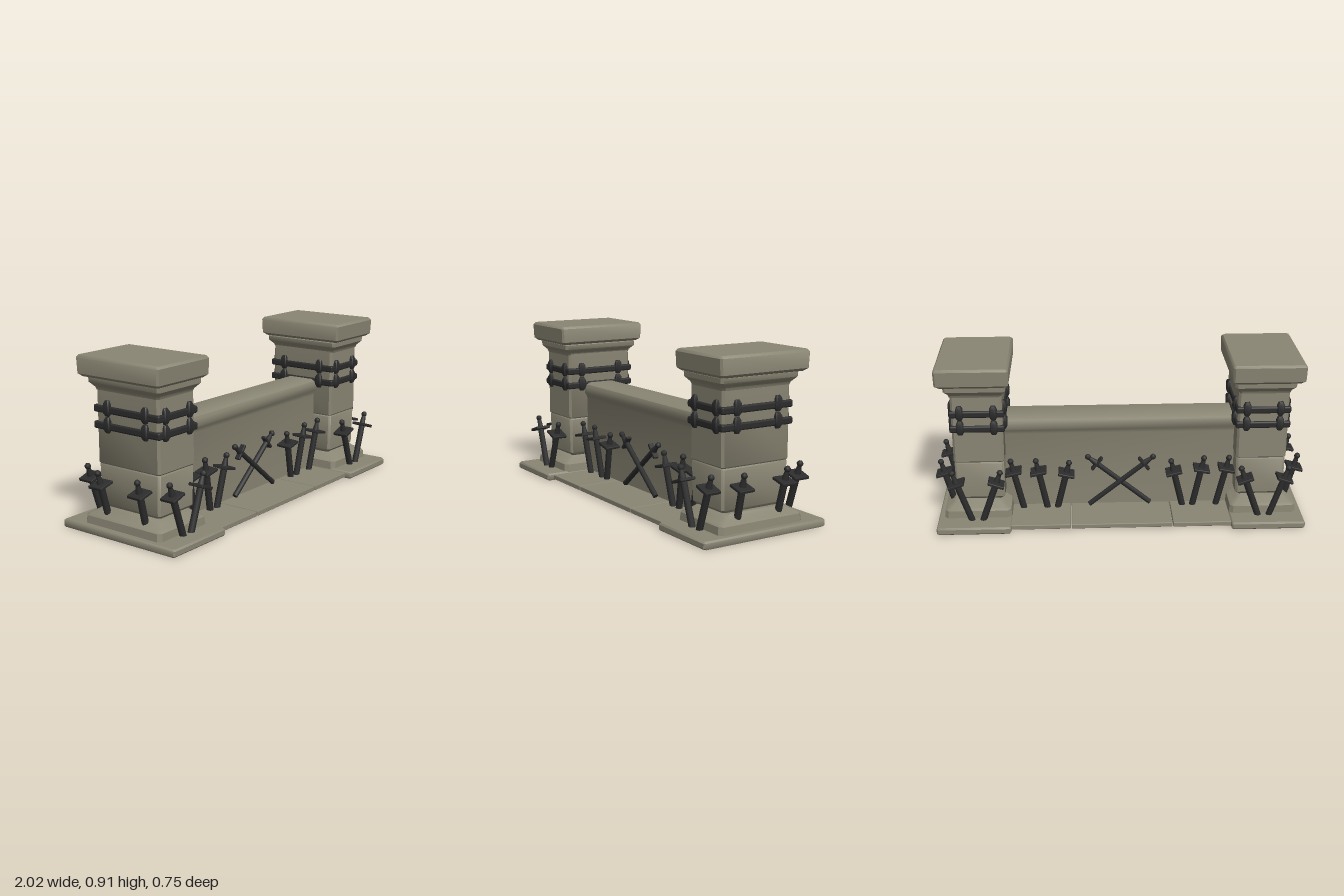
import * as THREE from 'three';
import { toCreasedNormals } from 'three/addons/utils/BufferGeometryUtils.js';
import { RoundedBoxGeometry } from 'three/addons/geometries/RoundedBoxGeometry.js';

const stone = new THREE.MeshStandardMaterial({ color: 0x8a8674 });
stone.name = 'stone';
const iron = new THREE.MeshStandardMaterial({ color: 0x2c2c2d });
iron.name = 'dark iron';

function add(parent, name, geometry, material, x = 0, y = 0, z = 0) {
  const mesh = new THREE.Mesh(geometry, material);
  mesh.name = name;
  mesh.position.set(x, y, z);
  parent.add(mesh);
  return mesh;
}

// Stacked rectangles with clipped corners; each section is [y, half x, half z]
function loft(sections, clip = 0.012) {
  const rings = sections.map(([y, a, b]) => [
    [a, b - clip], [a - clip, b], [clip - a, b], [-a, b - clip],
    [-a, clip - b], [clip - a, -b], [a - clip, -b], [a, clip - b],
  ].map(([x, z]) => [x, y, z]));
  const p = [];
  const tri = (...corners) => corners.forEach((c) => p.push(...c));
  for (let i = 0; i < rings.length - 1; i++) {
    for (let k = 0; k < 8; k++) {
      const n = (k + 1) % 8;
      const [a, b, c, d] = [rings[i][k], rings[i][n], rings[i + 1][n], rings[i + 1][k]];
      tri(a, d, c);
      tri(a, c, b);
    }
  }
  const low = rings[0], high = rings[rings.length - 1];
  for (let k = 1; k < 7; k++) {
    tri(low[0], low[k], low[k + 1]);
    tri(high[0], high[k + 1], high[k]);
  }
  const g = new THREE.BufferGeometry();
  g.setAttribute('position', new THREE.Float32BufferAttribute(p, 3));
  return toCreasedNormals(g, 0.7);
}

const capShape = loft([[0.805, 0.175, 0.25], [0.82, 0.193, 0.268], [0.9, 0.195, 0.272], [0.913, 0.185, 0.262]], 0.01);
const collarShape = loft([[0.735, 0.137, 0.207], [0.75, 0.142, 0.212], [0.765, 0.155, 0.226],
  [0.775, 0.163, 0.236], [0.8, 0.165, 0.237], [0.808, 0.158, 0.23]]);
const upperShape = loft([[0.355, 0.132, 0.2], [0.362, 0.137, 0.206], [0.745, 0.137, 0.206]]);
const lowerShape = loft([[0.125, 0.115, 0.18], [0.145, 0.132, 0.198], [0.348, 0.134, 0.203], [0.356, 0.13, 0.198]]);
const mouldingShape = loft([[0.04, 0.185, 0.258], [0.085, 0.18, 0.254], [0.098, 0.165, 0.24],
  [0.115, 0.14, 0.205], [0.13, 0.128, 0.185]], 0.02);
const plinthShape = loft([[0.004, 0.196, 0.368], [0.012, 0.2, 0.376], [0.036, 0.2, 0.376], [0.045, 0.194, 0.368]], 0.008);
const buckleShape = loft([[-0.04, 0.012, 0.012], [-0.022, 0.02, 0.02], [0.022, 0.02, 0.02], [0.04, 0.012, 0.012]], 0.005);
const bandShape = new RoundedBoxGeometry(0.296, 0.038, 0.436, 2, 0.01);
const guardShape = new RoundedBoxGeometry(0.09, 0.016, 0.09, 1, 0.004);
const crossGuardShape = new RoundedBoxGeometry(0.09, 0.016, 0.032, 1, 0.004);
const gripShape = new THREE.CylinderGeometry(0.01, 0.019, 0.055, 8);
const pommelShape = new THREE.SphereGeometry(0.017, 8, 6);

// A sword standing point down, from its buried end to its pommel
function sword(parent, from, to, narrow = false) {
  const a = new THREE.Vector3(...from), b = new THREE.Vector3(...to);
  const length = a.distanceTo(b);
  const g = new THREE.Group();
  g.name = 'sword';
  g.position.copy(a);
  g.quaternion.setFromUnitVectors(new THREE.Vector3(0, 1, 0), b.sub(a).normalize());
  const bladeLength = length - 0.08;
  const r = narrow ? 0.015 : 0.018;
  add(g, 'blade', new THREE.CylinderGeometry(r, r, bladeLength, 8), iron, 0, bladeLength / 2, 0);
  add(g, 'guard', narrow ? crossGuardShape : guardShape, iron, 0, bladeLength, 0);
  add(g, 'grip', gripShape, iron, 0, bladeLength + 0.03, 0);
  add(g, 'pommel', pommelShape, iron, 0, length - 0.016, 0);
  parent.add(g);
}

function pillar(side) {
  const g = new THREE.Group();
  g.name = side > 0 ? 'leftPillar' : 'rightPillar';
  add(g, 'plinth', plinthShape, stone, side * 0.8);
  add(g, 'baseMoulding', mouldingShape, stone, side * 0.783);
  add(g, 'lowerShaft', lowerShape, stone, side * 0.768);
  add(g, 'upperShaft', upperShape, stone, side * 0.768);
  add(g, 'collar', collarShape, stone, side * 0.771);
  add(g, 'cap', capShape, stone, side * 0.782);

  // Two iron bands, with buckles on all four faces
  for (const y of [0.555, 0.64]) {
    add(g, 'band', bandShape, iron, side * 0.768, y);
    for (const s of [-1, 1]) {
      for (const t of [-1, 1]) {
        add(g, 'buckle', buckleShape, iron, side * 0.768 + s * 0.09, y + 0.008, t * 0.206);
        add(g, 'buckle', buckleShape, iron, side * 0.768 + s * 0.137, y + 0.008, t * 0.125);
      }
    }
  }

  // Splayed swords on front and back, leaning swords on the outer side
  for (const t of [-1, 1]) {
    sword(g, [side * 0.805, 0.012, t * 0.275], [side * 0.915, 0.34, t * 0.275]);
    sword(g, [side * 0.765, 0.012, t * 0.275], [side * 0.648, 0.34, t * 0.275]);
    sword(g, [side * 0.925, 0.105, t * 0.127], [side * 0.987, 0.345, t * 0.133]);
  }
  return g;
}

export function createModel() {
  const model = new THREE.Group();
  model.name = 'gravePlotWall';
  model.add(pillar(1), pillar(-1));

  // Low wall with a rounded coping, extruded along x
  const half = [[0.086, 0.02], [0.086, 0.47], [0.092, 0.49], [0.102, 0.505], [0.104, 0.54], [0.096, 0.558], [0.075, 0.568]];
  const outline = [...half, ...half.map(([x, y]) => [-x, y]).reverse()];
  const profile = new THREE.Shape(outline.map(([x, y]) => new THREE.Vector2(x, y)));
  const wall = new THREE.ExtrudeGeometry(profile, { depth: 1.32, bevelEnabled: false });
  wall.translate(0, 0, -0.66).rotateY(Math.PI / 2);
  add(model, 'wall', toCreasedNormals(wall, 0.7), stone);

  for (const t of [-1, 1]) {
    // Paving slabs along each face of the wall
    for (const [x0, x1] of [[-0.605, -0.283], [-0.278, 0.272], [0.277, 0.605]]) {
      const slab = new RoundedBoxGeometry(x1 - x0, 0.026, 0.28, 1, 0.004);
      add(model, 'pavingSlab', slab, stone, (x0 + x1) / 2, 0.022, t * 0.197);
    }
    // Three leaning swords at each end of the wall
    for (const s of [-1, 1]) {
      sword(model, [s * 0.535, 0.012, t * 0.118], [s * 0.607, 0.34, t * 0.134]);
      sword(model, [s * 0.403, 0.012, t * 0.118], [s * 0.468, 0.34, t * 0.134]);
      sword(model, [s * 0.355, 0.012, t * 0.118], [s * 0.279, 0.325, t * 0.134]);
    }
    // Crossed pair in the middle
    sword(model, [-0.168, 0.045, t * 0.102], [0.19, 0.34, t * 0.102], true);
    sword(model, [0.172, 0.045, t * 0.114], [-0.195, 0.34, t * 0.114], true);
  }
  return model;
}
